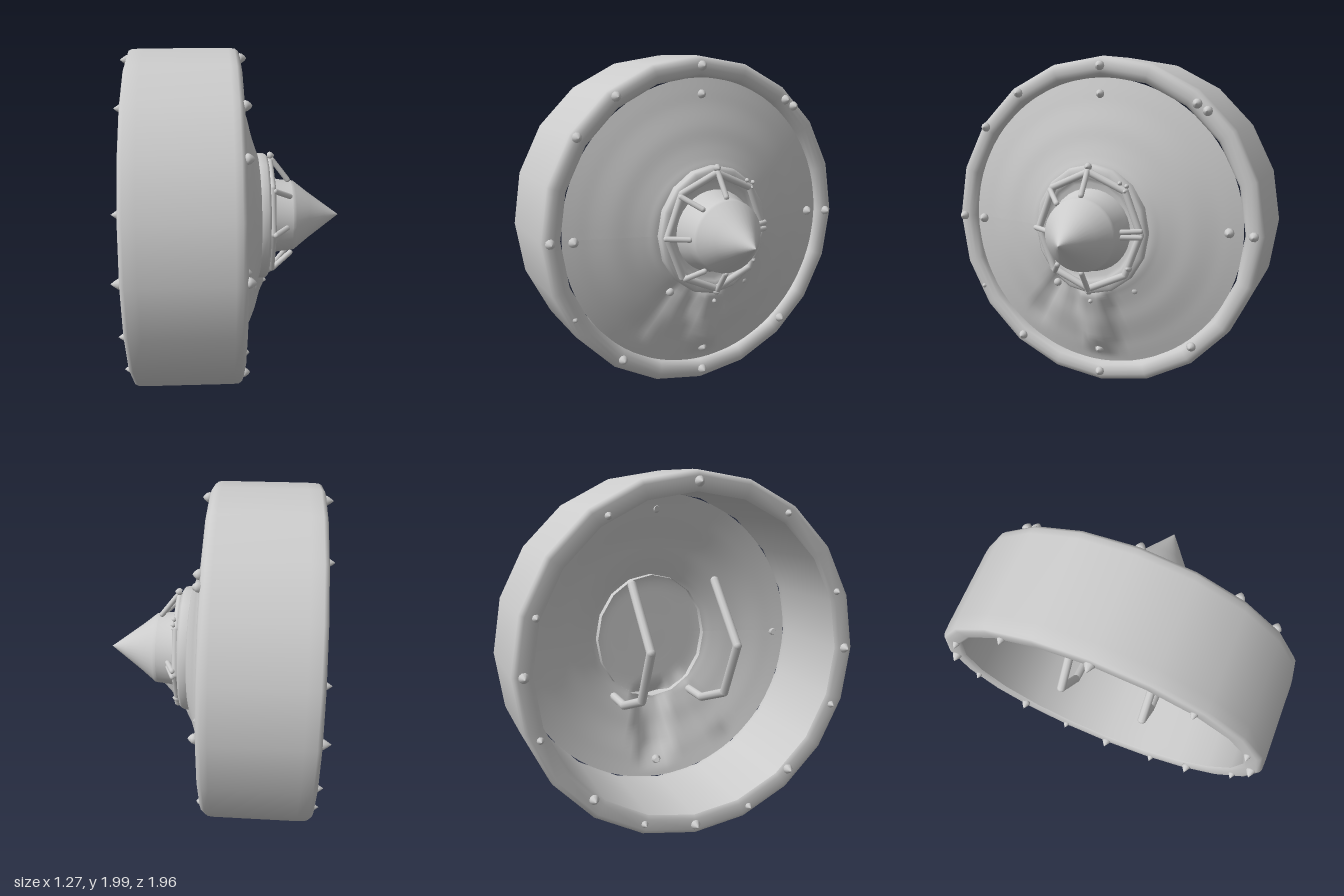
import * as THREE from 'three';

const grey = new THREE.MeshStandardMaterial({ color: 0xcccccc });
const greyDouble = new THREE.MeshStandardMaterial({ color: 0xcccccc, side: THREE.DoubleSide });
const v3 = (x, y, z) => new THREE.Vector3(x, y, z);

export function createModel() {
  const root = new THREE.Group();
  root.name = 'spikedRoundShield';
  // everything is built around the x axis, raised so that it stands on the floor
  const body = new THREE.Group();
  body.name = 'shieldBody';
  body.position.y = 1.003;
  root.add(body);

  const add = (name, geo, mat = grey, parent = body) => {
    const m = new THREE.Mesh(geo, mat);
    m.name = name;
    parent.add(m);
    return m;
  };
  // lathe around x: points are [radius, x]
  const turn = (pts, sides) => new THREE.LatheGeometry(pts.map(p => new THREE.Vector2(...p)), sides).rotateZ(-Math.PI / 2);
  // round ended rod between two points
  const rod = (name, a, b, r, parent = body) => {
    const d = b.clone().sub(a);
    const m = add(name, new THREE.CapsuleGeometry(r, d.length(), 4, 10), grey, parent);
    m.position.copy(a).addScaledVector(d, 0.5);
    m.quaternion.setFromUnitVectors(v3(0, 1, 0), d.normalize());
    return m;
  };

  // faceted drum wall with rounded rims
  const wall = [[0.885, -0.57], [0.905, -0.588], [0.965, -0.59], [0.985, -0.583], [0.994, -0.565],
    [0.997, -0.5], [0.997, -0.03], [0.994, 0.005], [0.98, 0.024], [0.955, 0.033], [0.925, 0.033],
    [0.897, 0.022], [0.882, 0], [0.88, -0.04], [0.885, -0.5], [0.885, -0.57]];
  add('drumWall', turn(wall, 20)).scale.z = 0.985;

  // thin front disc, swelling toward the hub, with a ridge below and a slanting dent
  const profile = new THREE.CatmullRomCurve3([[0.872, -0.01], [0.8, 0.012], [0.72, 0.035], [0.6, 0.075],
    [0.5, 0.1], [0.42, 0.125], [0.36, 0.145], [0.2, 0.15], [0, 0.15]].map(p => v3(p[0], p[1], 0)));
  const disc = turn(profile.getPoints(36).map(p => [Math.max(p.x, 0), p.y]), 80);
  const pos = disc.attributes.position;
  for (let i = 0; i < pos.count; i++) {
    const y = pos.getY(i), z = pos.getZ(i), r = Math.hypot(y, z);
    const span = THREE.MathUtils.smoothstep(r, 0.3, 0.42) * (1 - THREE.MathUtils.smoothstep(r, 0.68, 0.85));
    let dx = 0;
    if (y < 0) {
      dx += 0.055 * span * (1 - THREE.MathUtils.smoothstep(Math.abs(z), 0.06, 0.12));
      const off = Math.abs(z * 0.82 + y * 0.57);
      if (z > 0) dx -= 0.03 * span * (1 - THREE.MathUtils.smoothstep(off, 0, 0.07));
    }
    pos.setX(i, pos.getX(i) + dx);
  }
  disc.computeVertexNormals();
  add('frontDisc', disc, greyDouble).scale.z = 0.985;

  // collar around the boss
  const collar = add('hubCollar', turn([[0.36, 0.1], [0.362, 0.15], [0.36, 0.185], [0.345, 0.2],
    [0.31, 0.205], [0.285, 0.195], [0.265, 0.18], [0.2, 0.18]], 16), greyDouble);
  collar.scale.set(1, 1.06, 0.96);

  // pointed boss: short neck, then the spike
  add('bossNeck', turn([[0.25, 0.15], [0.24, 0.21], [0.22, 0.26], [0.21, 0.35]], 32), greyDouble);
  add('bossSpike', turn([[0.213, 0.34], [0.208, 0.36], [0.14, 0.445], [0.07, 0.54], [0.0, 0.635]], 32));

  // octagonal hoop on the collar
  const hoop = new THREE.Group();
  hoop.name = 'collarHoop';
  body.add(hoop);
  const corner = i => v3(0.21, 0.345 * Math.cos(i * Math.PI / 4), 0.315 * Math.sin(i * Math.PI / 4));
  for (let i = 0; i < 8; i++) rod('hoopBar', corner(i), corner(i + 1), 0.021, hoop);

  // claws gripping the boss: [from y, from z, to y, to z, tip x]
  const claws = [[0.35, 0, 0.225, 0, 0.32], [-0.35, 0, -0.225, 0, 0.32], [0, 0.33, 0, 0.22, 0.3],
    [0.025, -0.32, 0.018, -0.2, 0.27], [-0.012, -0.32, -0.01, -0.2, 0.27],
    [0.23, 0.235, 0.17, 0.15, 0.32], [-0.25, 0.21, -0.185, 0.145, 0.33]];
  for (const [y0, z0, y1, z1, x] of claws) rod('claw', v3(0.225, y0, z0), v3(x, y1, z1), 0.016);

  // domed studs on rim, disc and collar: [z, y above centre, x, size]
  const studGeo = turn([[0.6, -0.6], [1, 0], [0.85, 0.5], [0.45, 1], [0, 1.3]], 10);
  const studs = [
    [0, 0.94], [0.53, 0.78], [0.76, 0.57], [0.935, 0], [0.81, -0.46, 0.02, 0.02], [0.53, -0.76],
    [0, -0.93], [-0.58, -0.69], [-0.92, 0], [-0.58, 0.73], [-0.64, 0.69],
    [0, 0.78, 0.025, 0.026], [0.8, -0.01, 0.02, 0.03], [-0.78, 0.01, 0.02, 0.03],
    [0, -0.78, 0.03, 0.03], [0, -0.43, 0.185, 0.014],
    [0, 0.375, 0.21, 0.023], [0.21, -0.25, 0.215, 0.023], [0, -0.36, 0.21, 0.023], [-0.245, -0.2, 0.21, 0.023],
    [-0.195, 0.29, 0.22, 0.014], [-0.235, 0.275, 0.22, 0.014], [-0.225, 0.245, 0.22, 0.014]];
  for (const [z, y, x = 0.033, s = 0.029] of studs) {
    const m = add('stud', studGeo);
    m.position.set(x, y, z);
    m.scale.setScalar(s);
  }

  // pointed studs around the open rim: [z, y above centre, size]
  const spikeGeo = turn([[0, -1.6], [0.4, -1.1], [1, -0.2], [0.8, 0.4]], 10);
  const spikes = [[0, 0.935], [0.52, 0.77, 0.02], [-0.48, 0.77, 0.02], [0.85, 0.33, 0.02], [-0.85, 0.29, 0.02],
    [0.92, 0], [-0.92, 0], [0.85, -0.33, 0.02], [-0.85, -0.33, 0.02], [-0.58, -0.69], [0.58, -0.69],
    [0.33, -0.88, 0.02], [-0.3, -0.88, 0.02], [0, -0.935]];
  for (const [z, y, s = 0.028] of spikes) {
    const m = add('rimSpike', spikeGeo);
    m.position.set(-0.59, y, z);
    m.scale.setScalar(s);
  }

  // two bent grips inside the drum
  const grip = [[-0.26, 0.38], [-0.56, 0.06], [-0.41, -0.245], [-0.1, -0.36], [0.1, -0.36]];
  for (const z of [0.25, -0.25]) {
    const g = new THREE.Group();
    g.name = z > 0 ? 'frontGrip' : 'backGrip';
    body.add(g);
    for (let i = 0; i < grip.length - 1; i++) rod('gripBar', v3(...grip[i], z), v3(...grip[i + 1], z), 0.025, g);
  }
  return root;
}
